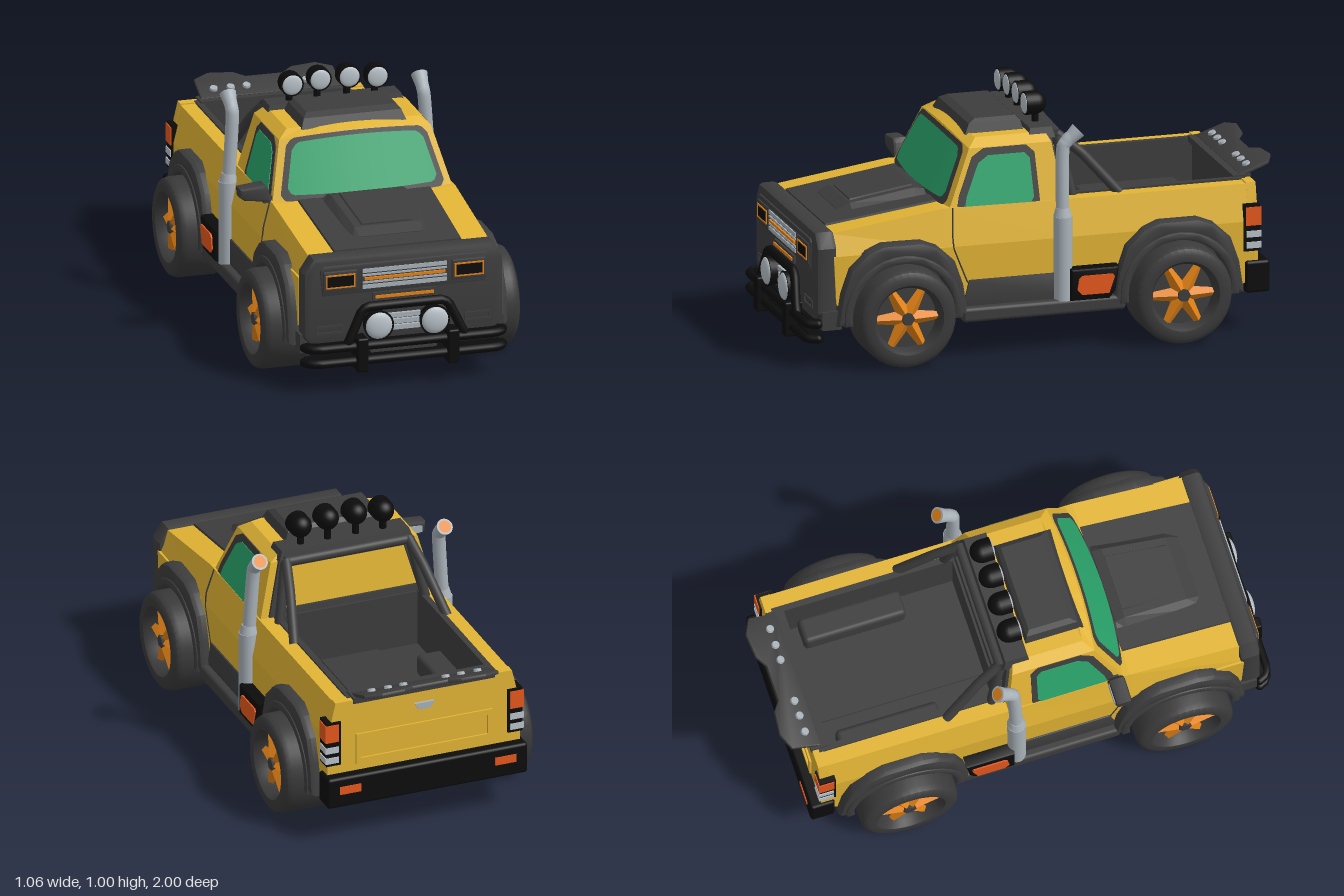
import * as THREE from 'three';
import { toCreasedNormals } from 'three/addons/utils/BufferGeometryUtils.js';
import { RoundedBoxGeometry } from 'three/addons/geometries/RoundedBoxGeometry.js';

const paint = (name, color, side = THREE.FrontSide) => new THREE.MeshStandardMaterial({ name, color, side });

export function createModel() {
  const yellow = paint('yellow paint', 0xe2b434), dark = paint('dark trim', 0x3d3d3d, THREE.DoubleSide);
  const black = paint('black trim', 0x0c0c0c), glass = paint('green glass', 0x2aa46b, THREE.DoubleSide);
  const metal = paint('light metal', 0xa9b2b9), lens = paint('lamp lens', 0xbac3c9);
  const orange = paint('orange', 0xe48316), red = paint('red orange', 0xe8581c), rubber = paint('tyre rubber', 0x3a3a3a);

  const truck = new THREE.Group();
  truck.name = 'pickupTruck';
  const V = (p) => new THREE.Vector3(...p);
  const add = (name, geo, mat) => {
    const m = new THREE.Mesh(geo, mat);
    m.name = name;
    truck.add(m);
  };
  // Mirrored copy with the corner order restored
  const flip = (geo) => {
    const g = geo.index ? geo.toNonIndexed() : geo.clone();
    g.scale(-1, 1, 1);
    for (const a of [g.attributes.position, g.attributes.normal])
      for (let i = 0; i < a.count; i += 3) {
        const b = [a.getX(i + 1), a.getY(i + 1), a.getZ(i + 1)];
        a.setXYZ(i + 1, a.getX(i + 2), a.getY(i + 2), a.getZ(i + 2));
        a.setXYZ(i + 2, ...b);
      }
    return g;
  };
  const both = (name, geo, mat) => { add(name + 'Left', geo, mat); add(name + 'Right', flip(geo), mat); };
  // Box given by its limits
  const box = (x0, x1, y0, y1, z0, z1, r = 0) =>
    (r ? new RoundedBoxGeometry(x1 - x0, y1 - y0, z1 - z0, 2, r) : new THREE.BoxGeometry(x1 - x0, y1 - y0, z1 - z0))
      .translate((x0 + x1) / 2, (y0 + y1) / 2, (z0 + z1) / 2);
  // Outline in x,y pulled from z0 to z1
  const ext = (pts, z0, z1, b = 0, hole = null) => {
    const s = new THREE.Shape(pts.map(([x, y]) => new THREE.Vector2(x, y)));
    if (hole) s.holes.push(new THREE.Path(hole.map(([x, y]) => new THREE.Vector2(x, y))));
    const g = new THREE.ExtrudeGeometry(s, { depth: z1 - z0 - 2 * b, bevelEnabled: b > 0, bevelSize: b, bevelThickness: b, bevelOffset: -b, bevelSegments: 2 });
    return toCreasedNormals(g.translate(0, 0, z0 + b), 0.5);
  };
  // Outline in z,y pulled from x0 to x1
  const side = (pts, x0, x1, b) => ext(pts.map(([z, y]) => [-z, y]), x0, x1, b).rotateY(Math.PI / 2);
  const sym = (half) => [...half, ...half.map(([x, y]) => [-x, y]).reverse()];
  const rect = (x, y, w, h) => [[x - w, y - h], [x + w, y - h], [x + w, y + h], [x - w, y + h]];
  // Skin over closed rings, capped at both ends
  const loft = (rings) => {
    const p = [], tri = (a, b, c) => p.push(...a, ...b, ...c), n = rings[0].length, last = rings.at(-1);
    for (let i = 0; i + 1 < rings.length; i++)
      for (let j = 0; j < n; j++) {
        const k = (j + 1) % n, [a, b] = [rings[i], rings[i + 1]];
        tri(a[j], a[k], b[k]);
        tri(a[j], b[k], b[j]);
      }
    for (let j = 1; j + 1 < n; j++) { tri(rings[0][0], rings[0][j + 1], rings[0][j]); tri(last[0], last[j], last[j + 1]); }
    const g = new THREE.BufferGeometry().setAttribute('position', new THREE.Float32BufferAttribute(p, 3));
    g.computeVertexNormals();
    return g;
  };
  const tube = (pts, r, tension = 0.15) =>
    new THREE.TubeGeometry(new THREE.CatmullRomCurve3(pts.map(V), false, 'catmullrom', tension), 32, r, 12);
  const rod = (r0, r1, len, axis, x, y, z, n = 24) => { // r1 is at the positive end
    const g = new THREE.CylinderGeometry(r1, r0, len, n);
    if (axis === 'x') g.rotateZ(-Math.PI / 2);
    if (axis === 'z') g.rotateX(Math.PI / 2);
    return g.translate(x, y, z);
  };
  const rule = (geo, f) => {
    const a = geo.attributes.position, v = new THREE.Vector3();
    for (let i = 0; i < a.count; i++) { f(v.fromBufferAttribute(a, i)); a.setXYZ(i, v.x, v.y, v.z); }
    geo.computeVertexNormals();
    return geo;
  };
  const arc = (zc, r, from, to) => Array.from({ length: 21 }, (_, i) => {
    const t = from + (to - from) * i / 20;
    return [zc + r * Math.cos(t), 0.2 + r * Math.sin(t)];
  });
  const axles = [0.585, -0.55];

  // Lower body with wheel arches, inner wells and chassis
  const arches = [...arc(-0.55, 0.218, Math.PI + 0.13, -0.13), ...arc(0.585, 0.218, Math.PI + 0.13, -0.13)];
  both('lowerSide', side([[-0.87, 0.45], [-0.87, 0.22], ...arches, [0.85, 0.26], [0.86, 0.45]], 0.39, 0.41), yellow);
  both('innerWell', side([[-0.86, 0.44], [-0.86, 0.17], ...arches, [0.86, 0.17], [0.86, 0.44]], 0.3, 0.392), dark);
  add('chassis', box(-0.302, 0.302, 0.165, 0.37, -0.86, 0.86), dark);
  add('engineBay', box(-0.302, 0.302, 0.36, 0.46, -0.1, 0.86), dark);
  add('floorPan', box(-0.43, 0.43, 0.16, 0.2, -0.31, 0.33), dark);

  // Hood and shoulders
  const hoodY = (z) => 0.6 - (z - 0.4) * 0.14;
  const section = (z, w, t, y0, y1) => [[-w, y0, z], [w, y0, z], [t, y1, z], [-t, y1, z]];
  add('upperBody', loft([section(-0.1, 0.41, 0.375, 0.45, 0.595), section(0.4, 0.41, 0.375, 0.45, 0.6), section(0.86, 0.4, 0.37, 0.45, hoodY(0.86))]), yellow);
  add('hoodPanel', loft([[0.4, 0.28], [0.85, 0.27]].map(([z, w]) => section(z, w, w - 0.01, hoodY(z) - 0.02, hoodY(z) + 0.008))), dark);
  add('hoodScoop', loft([[0.41, 0.19, 0.155, 0.025], [0.45, 0.185, 0.15, 0.036], [0.71, 0.17, 0.135, 0.027], [0.76, 0.16, 0.13, 0.01]]
    .map(([z, w, t, h]) => section(z, w, t, hoodY(z), hoodY(z) + h))), dark);
  add('scoopInset', loft([[0.45, 0.125], [0.7, 0.11]].map(([z, w]) => section(z, w, w - 0.01, hoodY(z) + 0.02, hoodY(z) + (z < 0.5 ? 0.042 : 0.033)))), dark);

  // Cab with a gently curved front and a crowned roof
  const halfW = (y) => 0.37 - (y - 0.59) * 0.255;
  const frontZ = (x, y) => 0.415 - (y - 0.59) * 0.49 - 0.3 * x * x;
  const cabRing = (y0, w, zr, crown = 0, pull = 0) => {
    const y = (x) => y0 - crown * x * x;
    return [...Array.from({ length: 9 }, (_, i) => {
      const x = w * (i / 4 - 1);
      return [x, y(x), frontZ(x, y(x)) - pull];
    }), [w, y(w), zr], [-w, y(w), zr]];
  };
  add('cab', loft([cabRing(0.59, 0.37, -0.1), cabRing(0.842, 0.312, -0.065, 0.25), cabRing(0.858, 0.27, -0.05, 0.12, 0.03)]), yellow);
  const pane = (yb, yt, inset, off) => rule(new THREE.PlaneGeometry(2, 1, 40, 6), (v) => {
    const c = 0.025 * Math.max(0, (Math.abs(v.x) - 0.9) / 0.1) ** 2, top = yt - 0.016 * v.x * v.x - c;
    v.y = yb + c + (v.y + 0.5) * (top - yb - c);
    v.x *= halfW(v.y) - inset;
    v.z = frontZ(v.x, v.y) + off;
  });
  add('windshieldFrame', pane(0.597, 0.839, 0.027, 0.006), dark);
  add('windshield', pane(0.622, 0.824, 0.05, 0.01), glass);
  const lean = (g) => rule(g, (v) => { v.x += halfW(v.y); });
  both('sideWindowFrame', lean(side([[0.345, 0.575], [0.33, 0.64], [0.265, 0.785], [0.215, 0.815], [0.04, 0.815], [0.008, 0.785], [0, 0.6], [0.02, 0.575]], -0.01, 0.003)), dark);
  both('sideWindow', lean(side([[0.31, 0.592], [0.3, 0.635], [0.243, 0.76], [0.2, 0.787], [0.05, 0.787], [0.03, 0.765], [0.024, 0.615], [0.04, 0.592]], 0, 0.0055)), glass);
  both('doorSeam', tube([[0.376, 0.6, 0.36], [0.405, 0.5, 0.37], [0.41, 0.44, 0.365], [0.41, 0.3, 0.31]], 0.003), dark);
  both('doorLowerPanel', side([[0.34, 0.17], [0.305, 0.31], [-0.08, 0.31], [-0.28, 0.31], [-0.3, 0.17]], 0.4, 0.417, 0.004), dark);
  both('sill', box(0.3, 0.45, 0.145, 0.205, -0.33, 0.34, 0.015), dark);
  add('rearWindowFrame', rule(ext(sym([[0.335, 0.6], [0.28, 0.825]]), -0.012, 0.01, 0, sym([[0.295, 0.625], [0.25, 0.795]])),
    (v) => { v.z += -0.1 + (v.y - 0.59) * 0.149; }), dark);

  // Roof panel and lamps
  const flat = (y, w, zf, zr) => [[-w, y, zf], [w, y, zf], [w, y, zr], [-w, y, zr]];
  add('roofPanel', loft([flat(0.845, 0.215, 0.26, 0.02), flat(0.885, 0.2, 0.24, 0.03), flat(0.9, 0.18, 0.21, 0.045)]), dark);
  add('lampMount', loft([flat(0.825, 0.285, 0.02, -0.09), flat(0.867, 0.27, 0.01, -0.08)]), dark);
  for (const [x, y] of [[-0.175, 0.942], [-0.06, 0.953], [0.06, 0.953], [0.175, 0.942]]) {
    add('roofLampStem', rod(0.014, 0.014, 0.07, 'y', x, 0.885, -0.04), black);
    add('roofLampRim', rod(0.047, 0.047, 0.045, 'z', x, y, -0.018), black);
    add('roofLampBack', new THREE.SphereGeometry(0.046, 24, 10, 0, Math.PI * 2, 0, Math.PI / 2).rotateX(-Math.PI / 2).translate(x, y, -0.038), black);
    add('roofLampLens', new THREE.SphereGeometry(0.041, 24, 12).scale(1, 1, 0.25).translate(x, y, 0.004), lens);
  }

  // Cargo bed
  both('bedRail', ext([[0.3, 0.44], [0.41, 0.45], [0.375, 0.595], [0.3, 0.595]], -0.87, -0.1), yellow);
  both('bedLiner', box(0.29, 0.315, 0.36, 0.603, -0.86, -0.1), dark);
  both('bedWheelBox', box(0.19, 0.3, 0.36, 0.45, -0.76, -0.34, 0.02), dark);
  add('bedFrontLiner', box(-0.3, 0.3, 0.36, 0.6, -0.12, -0.09), dark);
  add('bedRearLiner', box(-0.3, 0.3, 0.36, 0.6, -0.85, -0.83), dark);
  add('bedFloorRidge', box(-0.12, 0.12, 0.36, 0.378, -0.83, -0.12), dark);
  add('tailgate', ext(sym([[0.41, 0.22], [0.41, 0.45], [0.375, 0.6]]), -0.885, -0.845), yellow);
  add('tailgateFrame', ext(rect(0, 0.385, 0.29, 0.065), -0.893, -0.88, 0, rect(0, 0.385, 0.27, 0.042)), yellow);
  add('tailgateHandle', ext(sym([[0.025, 0.51], [0.042, 0.538]]), -0.897, -0.88), metal);
  both('tailLampHousing', box(0.355, 0.417, 0.33, 0.52, -0.892, -0.825), black);
  both('tailLamp', box(0.364, 0.421, 0.435, 0.51, -0.896, -0.832), red);
  for (const y of [0.355, 0.4]) both('reverseLamp', box(0.364, 0.421, y - 0.013, y + 0.013, -0.896, -0.835), lens);
  add('rearBumper', box(-0.425, 0.425, 0.16, 0.29, -0.93, -0.83, 0.012), black);
  both('rearReflector', box(0.285, 0.375, 0.218, 0.252, -0.933, -0.92), red);

  // Rear spoiler
  add('spoilerBase', box(-0.3, 0.3, 0.585, 0.61, -0.89, -0.815), dark);
  const tilt = (g) => g.rotateX(-Math.PI / 2 + 0.35).translate(0, 0.597, -0.85);
  add('spoiler', tilt(ext(sym([[0.29, 0], [0.285, 0.125], [0.22, 0.157], [0.12, 0.147], [0.075, 0.115]]), 0, 0.016, 0.004)), dark);
  for (const x of [0.09, 0.155, 0.225]) both('spoilerBolt', tilt(rod(0.018, 0.015, 0.014, 'z', x, 0.052, 0.018, 12)), metal);

  // Roll bars
  both('rollBarStrut', tube([[0.26, 0.835, -0.1], [0.285, 0.75, -0.2], [0.325, 0.59, -0.34]], 0.02), dark);
  both('rollBarPost', tube([[0.265, 0.83, -0.1], [0.31, 0.59, -0.15]], 0.02), dark);
  add('rollBarCross', rod(0.02, 0.02, 0.53, 'x', 0, 0.83, -0.1), dark);

  // Exhaust stacks and side boxes
  both('stackBase', rod(0.037, 0.037, 0.34, 'y', 0.415, 0.37, -0.08), metal);
  both('stackCollar', rod(0.037, 0.027, 0.035, 'y', 0.412, 0.557, -0.08), metal);
  both('stackPipe', tube([[0.41, 0.56, -0.08], [0.395, 0.79, -0.085], [0.393, 0.835, -0.1], [0.393, 0.87, -0.14]], 0.027, 0.5), metal);
  const mouth = V([0, 0.045, -0.05]);
  both('stackMouth', new THREE.CylinderGeometry(0.033, 0.026, 0.05, 24).rotateX(Math.PI / 2).lookAt(mouth).translate(0.393, 0.863, -0.132), metal);
  both('stackGlow', new THREE.CircleGeometry(0.025, 24).lookAt(mouth).translate(0.393, 0.881, -0.152), orange);
  both('sideBox', side([[-0.1, 0.2], [-0.1, 0.33], [-0.3, 0.33], [-0.285, 0.23], [-0.26, 0.2]], 0.38, 0.462, 0.01), black);
  both('sideBoxPanel', side([[-0.145, 0.225], [-0.125, 0.245], [-0.132, 0.29], [-0.145, 0.302], [-0.272, 0.302], [-0.278, 0.29], [-0.255, 0.225]], 0.45, 0.468), red);

  // Wheel flares
  for (const zc of axles) {
    const outer = sym([[0.27, 0.17], [0.25, 0.3], [0.215, 0.4], [0.145, 0.465], [0.08, 0.49]]).map(([z, y]) => [zc + z, y]);
    both('flare', side([...outer, ...arc(zc, 0.215, Math.PI + 0.14, -0.14)], 0.37, 0.453, 0.022), dark);
    both('flareLip', side([...arc(zc, 0.245, -0.12, Math.PI + 0.12), ...arc(zc, 0.21, Math.PI + 0.14, -0.14)], 0.38, 0.46, 0.01), dark);
  }

  // Wheels, axles and drive shaft
  const tyre = [[0.1, 0.37], [0.13, 0.33], [0.175, 0.32], [0.192, 0.328], [0.2, 0.35], [0.2, 0.495], [0.192, 0.518], [0.172, 0.53], [0.142, 0.527], [0.128, 0.505], [0.122, 0.45]];
  for (const z of axles) {
    const lathe = new THREE.LatheGeometry(tyre.map(([r, x]) => new THREE.Vector2(r, x)), 40).rotateZ(-Math.PI / 2).translate(0, 0.2, z);
    both('tyre', toCreasedNormals(lathe, 0.7), rubber);
    both('rimDish', rod(0.126, 0.126, 0.1, 'x', 0.42, 0.2, z, 40), dark);
    both('hub', rod(0.034, 0.026, 0.04, 'x', 0.495, 0.2, z, 6), dark);
    for (let i = 0; i < 6; i++) {
      const spoke = new THREE.CylinderGeometry(0.018, 0.035, 0.11, 4).toNonIndexed().scale(0.9, 1, 0.9).translate(0, 0.073, 0);
      spoke.computeVertexNormals();
      both('spoke', spoke.rotateX((i + 0.5) * Math.PI / 3).translate(0.482, 0.2, z), orange);
    }
    add('axle', rod(0.046, 0.046, 0.7, 'x', 0, 0.175, z), metal);
    both('axleCone', rod(0.05, 0.085, 0.12, 'x', 0.25, 0.185, z), metal);
    add('differential', rod(0.06, 0.06, 0.11, 'x', 0, 0.175, z), metal);
  }
  add('driveShaft', rod(0.024, 0.024, 1.135, 'z', 0, 0.17, 0.017), metal);

  // Front fascia, grille and headlamps
  add('fascia', ext(sym([[0.365, 0.17], [0.41, 0.22], [0.41, 0.485], [0.37, 0.545]]), 0.845, 0.93, 0.02), dark);
  add('grilleSurround', ext(sym([[0.335, 0.39], [0.345, 0.5], [0.33, 0.512]]), 0.92, 0.938, 0.005), dark);
  add('grillePlate', ext(rect(0, 0.45, 0.178, 0.042), 0.93, 0.942), dark);
  for (const [y, h] of [[0.417, 0.008], [0.435, 0.004], [0.465, 0.004], [0.483, 0.008]]) add('grilleBar', box(-0.173, 0.173, y - h, y + h, 0.93, 0.947), metal);
  add('grilleAccent', box(-0.165, 0.165, 0.4445, 0.4555, 0.93, 0.95), orange);
  add('lowerLightHousing', box(-0.13, 0.13, 0.353, 0.385, 0.92, 0.94), dark);
  add('lowerLight', box(-0.12, 0.12, 0.363, 0.375, 0.93, 0.945), orange);
  both('headlampHousing', ext(rect(0.264, 0.45, 0.07, 0.042), 0.93, 0.945, 0.005), dark);
  both('headlampRing', ext(rect(0.264, 0.45, 0.06, 0.028), 0.935, 0.949, 0, rect(0.264, 0.45, 0.054, 0.022)), orange);
  both('headlamp', ext(rect(0.264, 0.45, 0.054, 0.022), 0.935, 0.947), black);
  both('bumperSlot', ext(rect(0.303, 0.248, 0.054, 0.017), 0.92, 0.935, 0, rect(0.303, 0.248, 0.046, 0.01)), dark);
  for (const y of [0.235, 0.26, 0.285]) add('winchBar', box(-0.065, 0.065, y - 0.009, y + 0.009, 0.92, 0.945), metal);
  add('skidPlate', ext(sym([[0.12, 0.1], [0.15, 0.175]]), 0.84, 0.93), dark);
  add('frontValance', box(-0.42, 0.42, 0.155, 0.23, 0.83, 0.91), dark);

  // Bull bar and fog lamps
  for (const y of [0.18, 0.12]) {
    add('bullBarRail', tube([[-0.407, y, 0.925], [-0.395, y, 0.95], [-0.36, y, 0.966], [0.36, y, 0.966], [0.395, y, 0.95], [0.407, y, 0.925]], 0.018, 0.05), black);
    add('bullBarBeam', box(-0.4, 0.4, y - 0.015, y + 0.015, 0.9, 0.95), black);
    both('bullBarRailEnd', new THREE.SphereGeometry(0.018, 12, 8).translate(0.407, y, 0.925), black);
  }
  both('bullBarBracket', box(0.163, 0.21, 0.08, 0.22, 0.9, 1, 0.008), black);
  add('bullBarHoop', tube([[-0.245, 0.18, 0.96], [-0.23, 0.21, 0.96], [-0.18, 0.315, 0.95], [-0.15, 0.335, 0.95],
    [0.15, 0.335, 0.95], [0.18, 0.315, 0.95], [0.23, 0.21, 0.96], [0.245, 0.18, 0.96]], 0.019, 0.1), black);
  both('fogLampCase', rod(0.05, 0.062, 0.06, 'z', 0.115, 0.26, 0.945), black);
  both('fogLampLens', new THREE.SphereGeometry(0.055, 24, 14).scale(1, 1, 0.35).translate(0.115, 0.26, 0.973), lens);

  // Single door mirror
  add('mirrorHousing', ext([[-0.37, 0.595], [-0.48, 0.61], [-0.5, 0.625], [-0.502, 0.662], [-0.4, 0.672], [-0.385, 0.655]], 0.305, 0.37, 0.012), dark);
  add('mirrorStalk', box(-0.4, -0.34, 0.59, 0.615, 0.325, 0.355), dark);
  add('mirrorGlass', ext([[-0.405, 0.615], [-0.485, 0.623], [-0.485, 0.65], [-0.405, 0.657]], 0.302, 0.31), metal);
  return truck;
}
